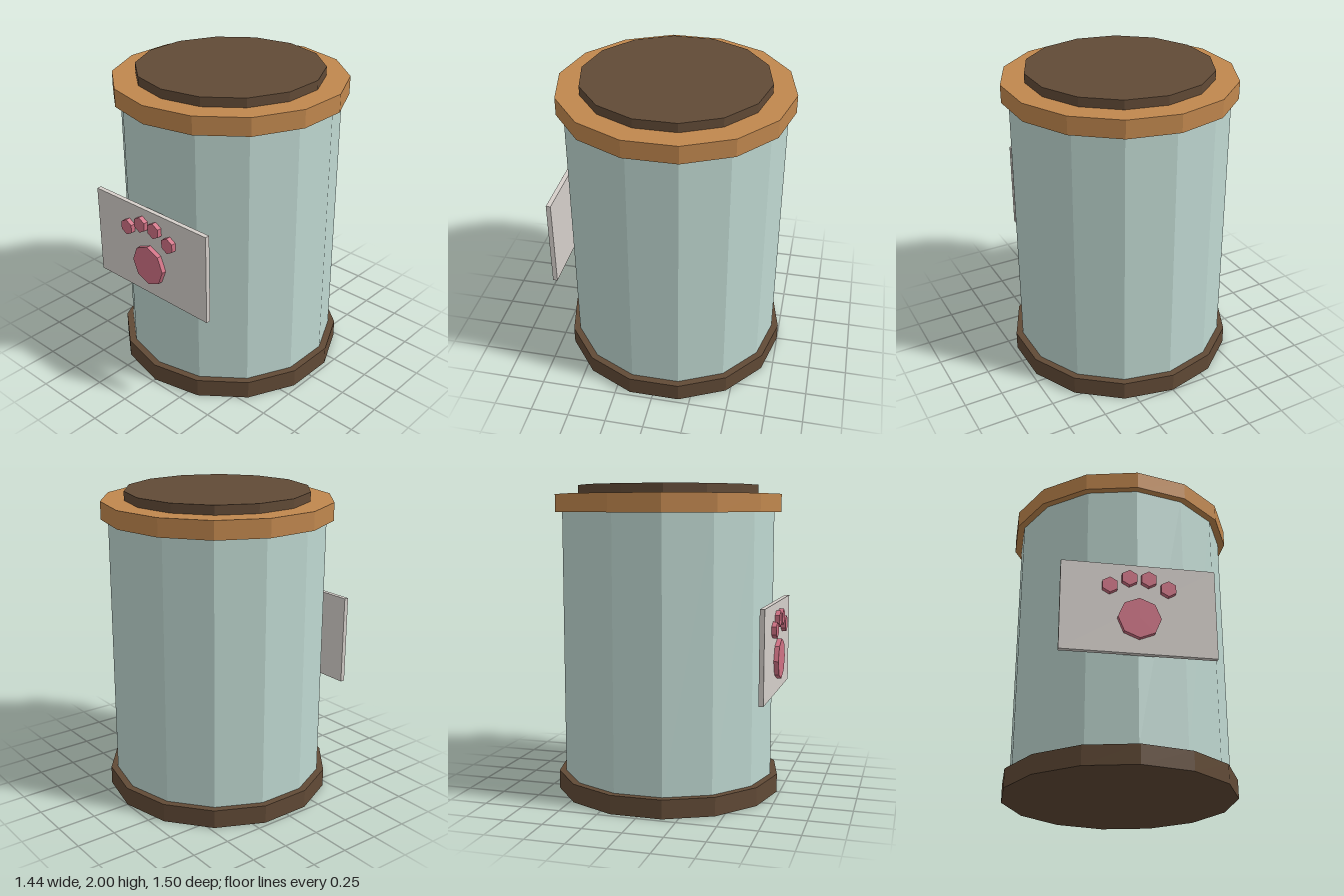
import * as THREE from 'three';

export function createModel() {
  const model = new THREE.Group();
  model.name = 'treatJar';

  const material = (name, color) => {
    const m = new THREE.MeshStandardMaterial({ color, flatShading: true });
    m.name = name;
    return m;
  };
  const glaze = material('paleTeal', 0xbfd8d1);
  const wood = material('lightWood', 0xc0874e);
  const darkWood = material('darkWood', 0x614a36);
  const card = material('warmGrey', 0xd5cfca);
  const pink = material('pink', 0xcf7184);

  const add = (parent, name, geometry, mat, x, y, z) => {
    const mesh = new THREE.Mesh(geometry, mat);
    mesh.name = name;
    mesh.position.set(x, y, z);
    parent.add(mesh);
    return mesh;
  };

  // Stacked fourteen-sided jar: name, radius, bottom, top, material
  const axisZ = -0.01;
  for (const [name, r, y0, y1, mat] of [
    ['base', 0.74, 0, 0.12, darkWood],
    ['body', 0.695, 0.12, 1.828, glaze],
    ['lidRim', 0.74, 1.828, 1.942, wood],
    ['lidTop', 0.592, 1.942, 2, darkWood],
  ]) {
    add(model, name, new THREE.CylinderGeometry(r, r, y1 - y0, 14), mat, 0, (y0 + y1) / 2, axisZ);
  }

  // Label plate on the front
  add(model, 'labelPlate', new THREE.BoxGeometry(0.946, 0.588, 0.03), card, 0, 0.966, 0.703);

  // Raised paw: one octagonal pad and four hexagonal toes
  const paw = new THREE.Group();
  paw.name = 'paw';
  model.add(paw);
  const pad = (name, r, sides, x, y) => {
    const geometry = new THREE.CylinderGeometry(r, r, 0.031, sides).rotateX(Math.PI / 2);
    add(paw, name, geometry, pink, x, y, 0.7325);
  };
  pad('palmPad', 0.131, 8, 0, 0.892);
  for (const side of [-1, 1]) {
    pad('innerToe', 0.052, 6, side * 0.059, 1.157);
    pad('outerToe', 0.052, 6, side * 0.178, 1.1);
  }

  return model;
}
